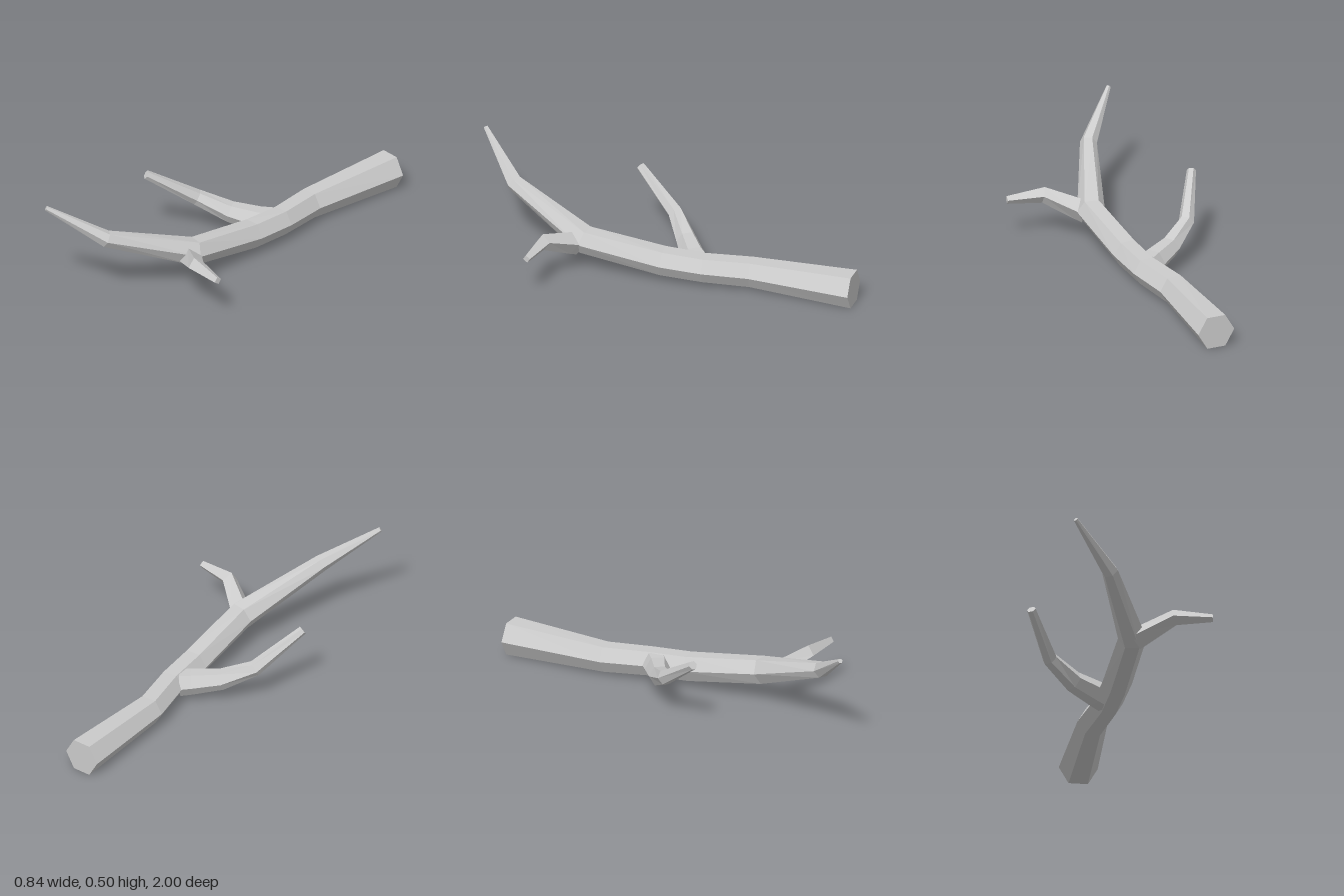
import * as THREE from 'three';

const material = new THREE.MeshStandardMaterial({ color: 0xcccccc, flatShading: true });

// Lofts a faceted limb through rings given as [x, y, z, radius]; both ends are capped.
function limb(name, rings, sides, phase = 0) {
  const centres = rings.map(([x, y, z]) => new THREE.Vector3(x, y, z));
  const up = new THREE.Vector3(0, 1, 0);
  const last = rings.length - 1;

  const loops = centres.map((c, i) => {
    // Each ring lies in the mitre plane between its neighbouring segments.
    const before = centres[i].clone().sub(centres[Math.max(i - 1, 0)]).normalize();
    const after = centres[Math.min(i + 1, last)].clone().sub(c).normalize();
    const along = before.add(after).normalize();
    const across = up.clone().cross(along).normalize();
    const over = along.clone().cross(across);
    return Array.from({ length: sides }, (_, k) => {
      const a = phase + (k / sides) * Math.PI * 2;
      return c.clone()
        .addScaledVector(across, Math.cos(a) * rings[i][3])
        .addScaledVector(over, Math.sin(a) * rings[i][3]);
    });
  });

  const points = [];
  for (let k = 0; k < sides; k++) {
    const n = (k + 1) % sides;
    for (let i = 0; i < last; i++) {
      const [a, b, c, d] = [loops[i][k], loops[i][n], loops[i + 1][n], loops[i + 1][k]];
      points.push(a, b, c, a, c, d);
    }
    points.push(centres[0], loops[0][n], loops[0][k]);
    points.push(centres[last], loops[last][k], loops[last][n]);
  }

  const geometry = new THREE.BufferGeometry().setFromPoints(points);
  geometry.computeVertexNormals();
  const mesh = new THREE.Mesh(geometry, material);
  mesh.name = name;
  return mesh;
}

export function createModel() {
  const group = new THREE.Group();
  group.name = 'branch';

  // Main stem, from the thick cut end at the back to the raised tip at the front
  group.add(limb('mainStem', [
    [0.218, 0.088, -0.985, 0.098],
    [0.125, 0.089, -0.45, 0.077],
    [0.133, 0.097, -0.21, 0.074],
    [0.113, 0.107, 0, 0.075],
    [0.065, 0.166, 0.405, 0.072],
    [-0.176, 0.325, 0.8, 0.043],
    [-0.415, 0.498, 0.985, 0.012],
  ], 6));

  // Long side twig, curving forward and up
  group.add(limb('rightTwig', [
    [0.1, 0.098, -0.175, 0.07],
    [0.045, 0.102, -0.145, 0.066],
    [-0.09, 0.125, -0.087, 0.054],
    [-0.238, 0.192, -0.006, 0.04],
    [-0.4, 0.353, 0.198, 0.023],
  ], 6));

  // Short four-sided twig near the front bend
  group.add(limb('leftTwig', [
    [0.075, 0.15, 0.44, 0.06],
    [0.1, 0.16, 0.465, 0.056],
    [0.23, 0.223, 0.588, 0.041],
    [0.413, 0.22, 0.643, 0.02],
  ], 4, 0.2));

  return group;
}
